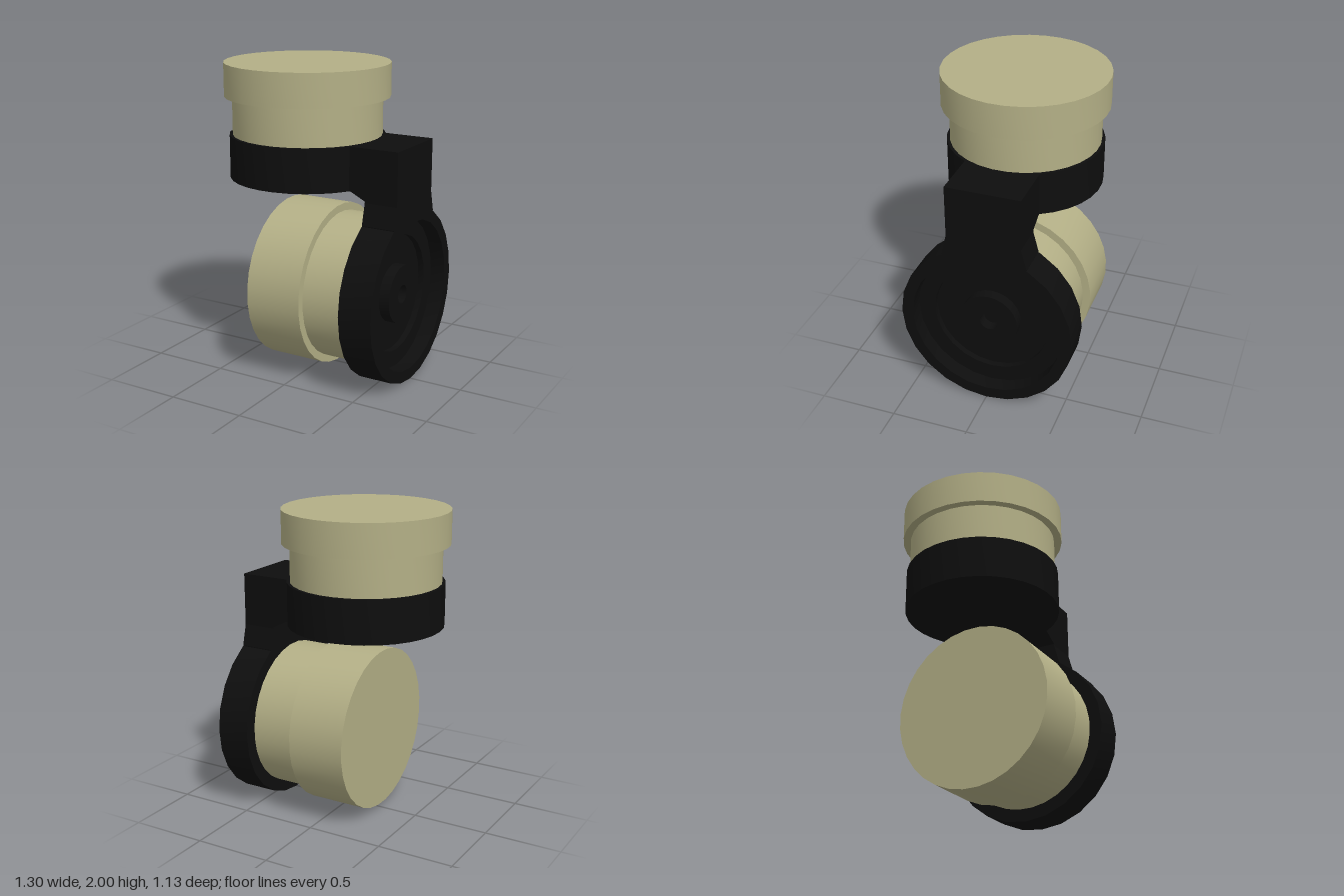
import * as THREE from 'three';
import { toCreasedNormals } from 'three/addons/utils/BufferGeometryUtils.js';

const AXIS_X = -0.12;   // upright motor axis
const HUB_Y = 0.565;    // sideways motor axis

export function createModel() {
  const model = new THREE.Group();
  model.name = 'twoAxisMotorJoint';
  const cream = new THREE.MeshStandardMaterial({ color: 0xb3af86 });
  cream.name = 'cream';
  const black = new THREE.MeshStandardMaterial({ color: 0x0e0e0e });
  black.name = 'black';

  const add = (name, geometry, material, parent = model) => {
    const mesh = new THREE.Mesh(geometry, material);
    mesh.name = name;
    parent.add(mesh);
    return mesh;
  };

  // Turned solid from [radius, height] pairs, with crisp edges
  const turned = (profile, sides, phase = 0) => toCreasedNormals(
    new THREE.LatheGeometry(profile.map(([r, h]) => new THREE.Vector2(r, h)), sides, phase), 0.6);

  // Motor: body with a wider cap, standing on its base
  const motor = (name, bodyHeight, capHeight) => {
    const group = new THREE.Group();
    group.name = name;
    const top = bodyHeight + capHeight;
    add('motorBody', turned([[0, 0], [0.482, 0], [0.482, bodyHeight]], 32, Math.PI / 32), cream, group);
    add('motorCap', turned([[0, bodyHeight], [0.532, bodyHeight], [0.532, top], [0, top]], 32, Math.PI / 32), cream, group);
    model.add(group);
    return group;
  };
  motor('upperMotor', 0.245, 0.215).position.set(AXIS_X, 1.54, 0);
  const lower = motor('lowerMotor', 0.30, 0.38);
  lower.rotation.z = Math.PI / 2;
  lower.position.set(0.43, HUB_Y, 0);

  // Round seat under the upright motor
  add('upperMount', turned([[0, 1.26], [0.502, 1.26], [0.502, 1.54], [0, 1.54]], 32, Math.PI / 32), black)
    .position.x = AXIS_X;

  // Round plate with a stepped recess and a drilled hub on its outer face
  const plate = add('lowerMount', turned([
    [0, 0], [0.566, 0], [0.566, 0.22], [0.49, 0.22], [0.49, 0.12], [0.38, 0.12], [0.38, 0.08],
    [0.19, 0.08], [0.19, 0.15], [0.06, 0.15], [0.06, 0.08], [0, 0.08],
  ], 24), black);
  plate.rotation.z = -Math.PI / 2;
  plate.position.set(0.43, HUB_Y, 0);

  // Horizontal arm with a chamfered inner corner
  const armShape = new THREE.Shape([
    [AXIS_X, 1.26], [0.33, 1.26], [0.43, 1.21], [0.43, 1.54], [AXIS_X, 1.54],
  ].map(([x, y]) => new THREE.Vector2(x, y)));
  add('bracketArm', new THREE.ExtrudeGeometry(armShape, { depth: 0.48, bevelEnabled: false }), black)
    .position.z = -0.24;

  // Vertical neck, flaring out to meet the plate rim
  const neckShape = new THREE.Shape();
  neckShape.moveTo(0.24, 1.54);
  neckShape.lineTo(-0.24, 1.54);
  neckShape.lineTo(-0.24, 1.2);
  neckShape.lineTo(-0.275, 1.065);
  const a = 1.05;
  neckShape.absarc(0, HUB_Y, 0.525, Math.PI - a, a, true);
  neckShape.lineTo(0.275, 1.065);
  neckShape.lineTo(0.24, 1.2);
  const neck = add('bracketNeck', new THREE.ExtrudeGeometry(neckShape, { depth: 0.22, bevelEnabled: false }), black);
  neck.rotation.y = Math.PI / 2;
  neck.position.x = 0.43;

  return model;
}
